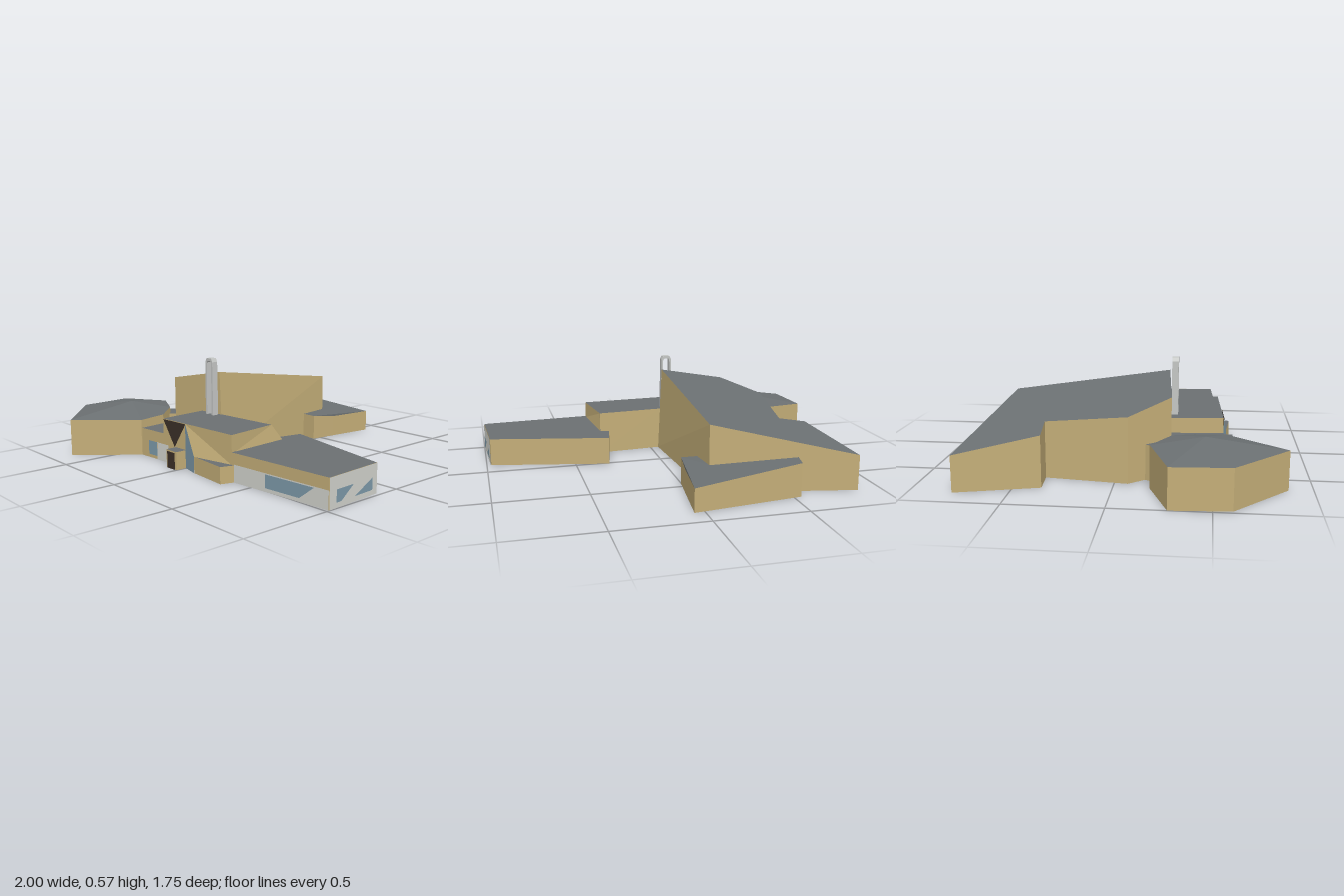
import * as THREE from 'three';

const flat = (name, color) => {
  const m = new THREE.MeshStandardMaterial({ color, side: THREE.DoubleSide, flatShading: true });
  m.name = name;
  return m;
};

export function createModel() {
  const model = new THREE.Group();
  const stone = flat('tan stone', 0xc4ae78);
  const slate = flat('slate roof', 0x6b7072);
  const white = flat('white panel', 0xd2d3cd);
  const glass = flat('blue glass', 0x7d9aaa);
  const dark = flat('dark wood', 0x3b3028);
  const steel = flat('tower grey', 0xc4c6c4);

  function mesh(name, tris, mat, parent = model) {
    const g = new THREE.BufferGeometry();
    g.setAttribute('position', new THREE.Float32BufferAttribute(tris.flat(2), 3));
    g.computeVertexNormals();
    const m = new THREE.Mesh(g, mat);
    m.name = name;
    parent.add(m);
  }

  // Fan of triangles over a convex set of corners
  const fan = (p) => p.slice(2).map((c, i) => [p[0], p[i + 1], c]);

  // Open-bottomed building: corners are [x, z, roof height, base x shift]; optional roof peak
  function building(name, corners, peak) {
    const group = new THREE.Group();
    group.name = name;
    let pts = corners;
    const outline = (a) => a.map(([x, z]) => new THREE.Vector2(x, -z));
    if (THREE.ShapeUtils.area(outline(pts)) < 0) pts = [...pts].reverse();
    const top = pts.map(([x, z, y]) => [x, y, z]);
    const base = pts.map(([x, z, , shift = 0]) => [x + shift, 0, z]);
    const n = pts.length;
    const walls = [];
    for (let i = 0; i < n; i++) {
      const j = (i + 1) % n;
      walls.push([base[i], base[j], top[j]], [base[i], top[j], top[i]]);
    }
    const roof = peak
      ? top.map((p, i) => [p, top[(i + 1) % n], peak])
      : THREE.ShapeUtils.triangulateShape(outline(pts), []).map((t) => t.map((i) => top[i]));
    // Keep every roof face upward
    for (const t of roof) {
      const [a, b, c] = t;
      const up = (b[2] - a[2]) * (c[0] - a[0]) - (b[0] - a[0]) * (c[2] - a[2]);
      if (up < 0) t.reverse();
    }
    mesh(name + 'Walls', walls, stone, group);
    mesh(name + 'Roof', roof, slate, group);
    model.add(group);
  }

  // Thin plate on the wall from a to b ([x, z]); corners are [x or z, y]
  function plate(name, mat, a, b, corners, offset, axis = 0) {
    const dx = b[0] - a[0], dz = b[1] - a[1], len = Math.hypot(dx, dz);
    const p = corners.map(([u, y]) => {
      const t = (u - a[axis]) / (b[axis] - a[axis]);
      return [a[0] + dx * t - dz / len * offset, y, a[1] + dz * t + dx / len * offset];
    });
    mesh(name, fan(p), mat);
  }
  const rect = (u0, u1, y0, y1) => [[u0, y0], [u1, y0], [u1, y1], [u0, y1]];

  // Tall hall under one tilted plane
  const tilt = (x, z) => 0.49 + 0.2 * (x + 0.07) + 0.134 * (z - 0.26);
  building('hall', [
    [-0.87, -0.78], [-0.1, -0.625], [-0.073, 0.25, 0.025], [-0.46, 0.28],
    [-0.645, 0.07], [-0.59, -0.365], [-0.75, -0.355],
  ].map(([x, z, s = 0]) => [x, z, tilt(x, z), s]));

  // Low annex behind the hall
  building('rearAnnex', [
    [-0.54, -0.8, 0.18], [0.055, -0.88, 0.125], [0.02, -0.6, 0.125], [0, -0.445, 0.145],
    [-0.1, -0.445, 0.145], [-0.105, -0.62, 0.15], [-0.555, -0.715, 0.185],
  ]);

  // Many-sided chapel with a shallow peak, and its link to the hall
  building('chapel', [
    [-1, 0.29, 0.21], [-0.7, 0.185, 0.225], [-0.51, 0.285, 0.225], [-0.42, 0.4, 0.21],
    [-0.395, 0.57, 0.205], [-0.66, 0.875, 0.207], [-0.98, 0.595, 0.21],
  ], [-0.66, 0.265, 0.46]);
  building('chapelLink', [
    [-0.57, 0.15, 0.19], [-0.615, 0.215, 0.19], [-0.5, 0.3, 0.19], [-0.455, 0.275, 0.19],
  ]);

  // Entrance range
  building('lowRange', [
    [-0.47, 0.285, 0.16], [-0.22, 0.265, 0.16], [-0.195, 0.555, 0.16],
    [-0.39, 0.567, 0.16], [-0.41, 0.4, 0.16],
  ]);
  building('entranceBlock', [
    [-0.22, 0.265, 0.245], [-0.05, 0.245, 0.245], [0.32, 0.215, 0.245],
    [0.36, 0.525, 0.245], [-0.195, 0.555, 0.245],
  ]);
  building('porch', [
    [-0.09, 0.53, 0.1], [0, 0.53, 0.1], [0, 0.612, 0.1], [-0.09, 0.612, 0.1],
  ]);
  building('frontBay', [
    [0.11, 0.575, 0.09], [0.355, 0.598, 0.09], [0.38, 0.52, 0.09], [0.11, 0.535, 0.09],
  ]);

  // Side wing
  building('sideWing', [
    [0.31, -0.015, 0.155], [0.975, 0.125, 0.155], [0.995, 0.482, 0.155], [0.36, 0.526, 0.155],
    [0.32, 0.22, 0.155], [0.33, 0.145, 0.155], [0.28, 0.135, 0.155],
  ]);
  mesh('wingButtress', [[[0.322, 0.245, 0.215], [0.36, 0.155, 0.5], [0.332, 0.155, 0.145]]], stone);

  // Sloping glass and stone beside the door
  const P = [0, 0.245, 0.55], S = [0.11, 0.09, 0.577];
  mesh('slopedGlass', fan([P, [0, 0, 0.55], [0.11, 0, 0.577], S]), glass);
  mesh('slopedStone', fan([P, S, [0.36, 0.091, 0.53]]), stone);

  // Front details
  const f0 = [-0.195, 0.555], f1 = [0.36, 0.525];
  plate('entranceGable', dark, f0, f1, [[-0.19, 0.243], [-0.095, 0.1], [0, 0.243]], 0.004);
  plate('door', dark, [-0.09, 0.612], [0, 0.612], rect(-0.078, -0.01, 0, 0.093), 0.004);
  const l0 = [-0.39, 0.567], l1 = [-0.15, 0.553];
  plate('entrancePanel', white, l0, l1, rect(-0.25, -0.15, 0, 0.1), 0.004);
  plate('entranceWindow', glass, l0, l1, rect(-0.325, -0.25, 0.02, 0.1), 0.005);

  // Wing panels and windows
  const w0 = [0.36, 0.526], w1 = [0.995, 0.482], e1 = [0.975, 0.125];
  plate('wingFrontPanel', white, w0, w1, rect(0.38, 0.995, 0, 0.095), 0.003);
  plate('wingFrontWindow', glass, w0, w1, [[0.6, 0.02], [0.82, 0.02], [0.91, 0.09], [0.6, 0.09]], 0.006);
  plate('wingEndPanel', white, w1, e1, rect(0.482, 0.125, 0, 0.155), 0.003, 1);
  plate('wingEndWindow', glass, w1, e1, [[0.435, 0.027], [0.4, 0.027], [0.31, 0.09], [0.435, 0.09]], 0.006, 1);
  plate('wingEndWindow', glass, w1, e1, [[0.3, 0.027], [0.165, 0.027], [0.165, 0.09]], 0.006, 1);

  // Slim arched tower
  const arch = new THREE.Shape();
  arch.moveTo(-0.034, 0);
  arch.lineTo(-0.03, 0.305);
  arch.lineTo(-0.02, 0.325);
  arch.lineTo(0.02, 0.325);
  arch.lineTo(0.03, 0.305);
  arch.lineTo(0.034, 0);
  arch.lineTo(0.02, 0);
  arch.lineTo(0.019, 0.3);
  arch.lineTo(0.012, 0.31);
  arch.lineTo(-0.012, 0.31);
  arch.lineTo(-0.019, 0.3);
  arch.lineTo(-0.02, 0);
  const tower = new THREE.Mesh(new THREE.ExtrudeGeometry(arch, { depth: 0.036, bevelEnabled: false }), steel);
  tower.name = 'tower';
  tower.position.set(-0.105, 0.242, 0.264);
  model.add(tower);

  return model;
}
